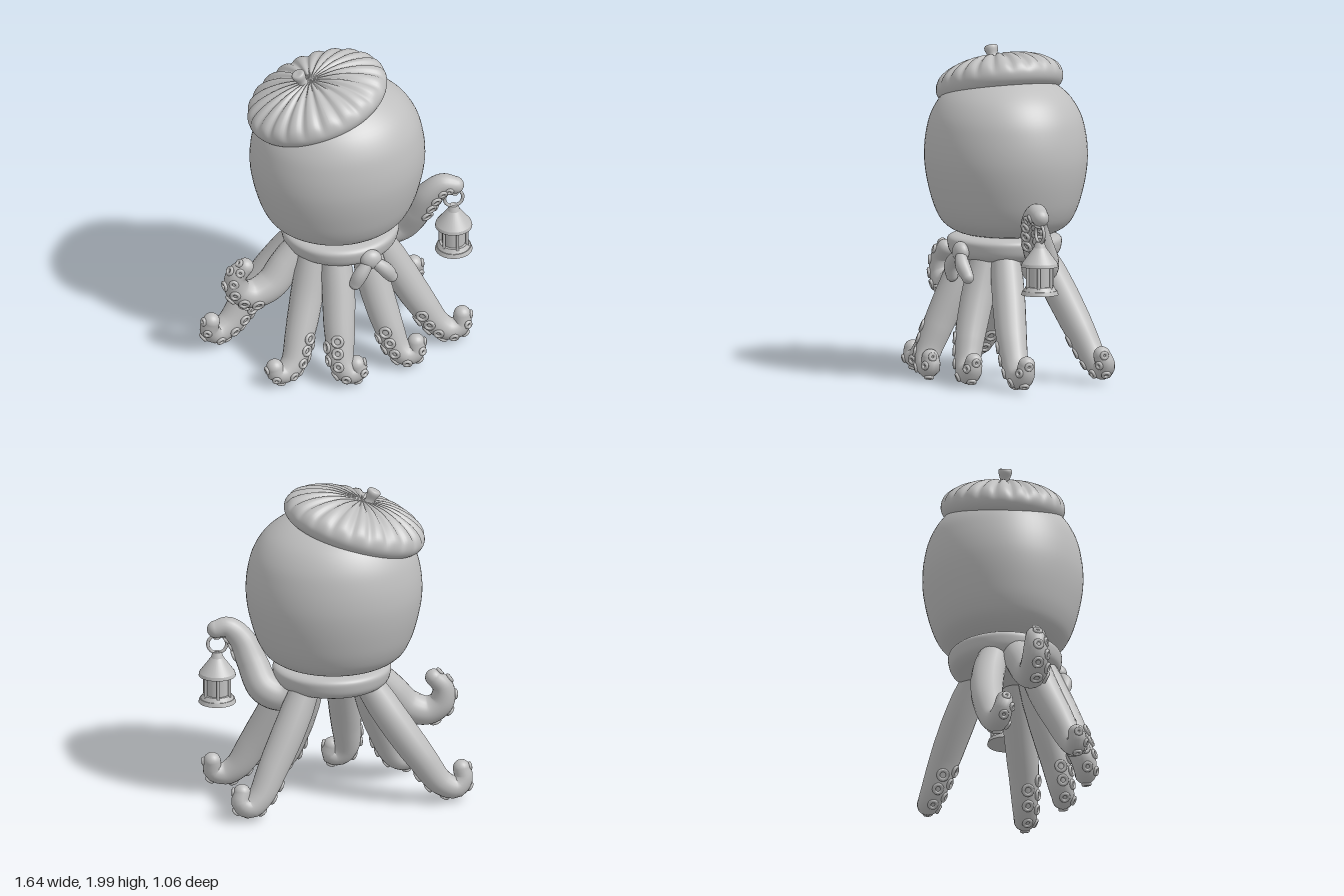
import * as THREE from 'three';

const clay = new THREE.MeshStandardMaterial({ color: 0xbfbfbf });
clay.name = 'pale grey';
const V = (p) => new THREE.Vector3(...p);

function add(parent, name, geometry, pos = [0, 0, 0]) {
  const m = new THREE.Mesh(geometry, clay);
  m.name = name;
  m.position.set(...pos);
  parent.add(m);
  return m;
}

// Smooth lathe through a few [radius, height] points
function lathe(points, segments = 64, divisions = 40) {
  const curve = new THREE.CatmullRomCurve3(points.map(([r, y]) => new THREE.Vector3(r, y, 0)));
  const profile = curve.getPoints(divisions).map((p) => new THREE.Vector2(Math.max(p.x, 0), p.y));
  return new THREE.LatheGeometry(profile, segments);
}

// Tube whose radius follows a function of its length
function taperedTube(curve, radiusAt, n = 48, sides = 20) {
  const g = new THREE.TubeGeometry(curve, n, 1, sides, false);
  const pos = g.attributes.position, v = new THREE.Vector3();
  for (let i = 0; i <= n; i++) {
    const c = curve.getPointAt(i / n), r = radiusAt(i / n);
    for (let j = 0; j <= sides; j++) {
      const k = i * (sides + 1) + j;
      v.fromBufferAttribute(pos, k).sub(c).multiplyScalar(r).add(c);
      pos.setXYZ(k, v.x, v.y, v.z);
    }
  }
  return g;
}

// Limb with a rounded tip and two rows of ring suckers; side is the x direction it curls to
function tentacle(name, side, points) {
  const g = new THREE.Group();
  g.name = name;
  const curve = new THREE.CatmullRomCurve3(points.map(V));
  const radii = [0.085, 0.098, 0.1, 0.096, 0.086, 0.072, 0.052];
  const radiusAt = (t) => {
    const f = Math.min(t * 6, 5.999), i = Math.floor(f);
    return THREE.MathUtils.lerp(radii[i], radii[i + 1], f - i);
  };
  add(g, 'limb', taperedTube(curve, radiusAt));
  add(g, 'tip', new THREE.SphereGeometry(radiusAt(1), 20, 14), points[points.length - 1]);
  const front = new THREE.Vector3(0, 0, 1);
  for (const [angle, start] of [[0.15, 0.66], [1.15, 0.61]]) {
    for (let i = 0; i < 5; i++) {
      const t = start + i * 0.085, T = curve.getTangentAt(t);
      const under = new THREE.Vector3(side * T.y, -side * T.x, 0).normalize();
      const dir = under.multiplyScalar(Math.cos(angle)).addScaledVector(front, Math.sin(angle));
      dir.addScaledVector(T, -dir.dot(T)).normalize();
      const p = curve.getPointAt(t).addScaledVector(dir, radiusAt(t));
      const size = 0.029 - i * 0.003;
      const s = add(g, 'sucker', new THREE.TorusGeometry(size, 0.011, 8, 18), p.toArray());
      s.quaternion.setFromUnitVectors(front, dir);
    }
  }
  return g;
}

function beret() {
  const g = new THREE.Group();
  g.name = 'beret';
  const crown = lathe([[0, 0.05], [0.2, 0.03], [0.36, 0], [0.42, 0.03], [0.44, 0.08], [0.42, 0.14],
    [0.34, 0.195], [0.2, 0.235], [0.08, 0.24], [0, 0.235]], 176, 44);
  // Radial pleats on the upper side
  const p = crown.attributes.position;
  for (let i = 0; i < p.count; i++) {
    const x = p.getX(i), y = p.getY(i), z = p.getZ(i), r = Math.hypot(x, z);
    const groove = Math.pow(Math.abs(Math.cos(Math.atan2(z, x) * 11)), 4);
    const depth = groove * Math.min(1, r / 0.12) * THREE.MathUtils.smoothstep(y, 0.05, 0.17);
    const k = 1 - 0.02 * depth;
    p.setXYZ(i, x * k, y - 0.016 * depth, z * k);
  }
  crown.computeVertexNormals();
  add(g, 'crown', crown).scale.z = 0.85;
  const stem = add(g, 'stem', lathe([[0.032, 0], [0.03, 0.03], [0.042, 0.075], [0.036, 0.09], [0, 0.09]], 20, 24), [-0.045, 0.225, 0]);
  stem.rotation.z = 0.15;
  g.position.set(-0.09, 1.69, -0.06);
  g.rotation.z = 0.296;
  return g;
}

function lantern() {
  const g = new THREE.Group();
  g.name = 'lantern';
  const cyl = (name, top, bottom, y0, y1) =>
    add(g, name, new THREE.CylinderGeometry(top, bottom, y1 - y0, 32), [0, (y0 + y1) / 2, 0]);
  cyl('foot', 0.105, 0.113, 0.59, 0.615);
  cyl('base', 0.085, 0.1, 0.615, 0.64);
  cyl('glass', 0.07, 0.07, 0.64, 0.77);
  cyl('eaves', 0.108, 0.112, 0.76, 0.78);
  cyl('roof', 0.038, 0.108, 0.78, 0.875);
  cyl('cap', 0.026, 0.038, 0.875, 0.91);
  for (let i = 0; i < 6; i++) {
    const a = (i + 0.5) * Math.PI / 3;
    add(g, 'bar', new THREE.CylinderGeometry(0.01, 0.01, 0.14, 8),
      [0.083 * Math.cos(a), 0.7, 0.083 * Math.sin(a)]);
  }
  add(g, 'ring', new THREE.TorusGeometry(0.057, 0.01, 10, 32), [0, 0.96, 0]);
  g.position.set(0.705, 0, 0.06);
  return g;
}

function scarf() {
  const g = new THREE.Group();
  g.name = 'scarf';
  const band = add(g, 'band', lathe([[0, 0.73], [0.24, 0.73], [0.3, 0.735], [0.34, 0.765], [0.355, 0.81],
    [0.355, 0.845], [0.33, 0.865], [0.2, 0.875], [0, 0.875]]), [0.02, 0, -0.03]);
  band.scale.z = 0.96;
  const knot = add(g, 'knot', new THREE.SphereGeometry(0.06, 24, 16), [0.12, 0.79, 0.31]);
  knot.scale.set(1.1, 1.05, 0.8);
  // Two loose ends below the knot
  for (const [end, bend] of [[[0.02, 0.635, 0.32], [0.05, 0.71, 0.335]], [[0.245, 0.65, 0.32], [0.2, 0.72, 0.335]]]) {
    const curve = new THREE.CatmullRomCurve3([V([0.12, 0.79, 0.31]), V(bend), V(end)]);
    add(g, 'tail', taperedTube(curve, (t) => 0.025 + 0.02 * Math.sin(t * Math.PI * 0.8), 16, 16));
    add(g, 'tailEnd', new THREE.SphereGeometry(0.037, 16, 12), end);
  }
  return g;
}

export function createModel() {
  const model = new THREE.Group();
  model.name = 'octopus';

  const head = add(model, 'head', lathe([[0, 0.865], [0.2, 0.866], [0.32, 0.885], [0.41, 0.94], [0.46, 1.02],
    [0.5, 1.14], [0.525, 1.26], [0.532, 1.36], [0.52, 1.48], [0.485, 1.6], [0.41, 1.71],
    [0.28, 1.8], [0.14, 1.845], [0, 1.86]], 72, 60), [0.008, 0, -0.045]);
  head.scale.z = 0.91;

  model.add(beret(), scarf(), lantern());

  // Eight limbs: two raised, six on the ground
  model.add(
    tentacle('raisedRightTentacle', -1, [[-0.2, 0.8, 0], [-0.33, 0.66, 0.03], [-0.44, 0.54, 0.06],
      [-0.56, 0.5, 0.07], [-0.645, 0.55, 0.07], [-0.655, 0.65, 0.07], [-0.6, 0.71, 0.07]]),
    tentacle('lowRightTentacle', -1, [[-0.18, 0.78, -0.12], [-0.34, 0.54, -0.18], [-0.5, 0.31, -0.2],
      [-0.63, 0.13, -0.18], [-0.72, 0.09, -0.16], [-0.765, 0.14, -0.14], [-0.755, 0.2, -0.13]]),
    tentacle('frontRightTentacle', -1, [[-0.18, 0.78, 0.09], [-0.24, 0.52, 0.17], [-0.31, 0.29, 0.26],
      [-0.37, 0.13, 0.32], [-0.43, 0.08, 0.34], [-0.48, 0.09, 0.345], [-0.49, 0.13, 0.34]]),
    tentacle('frontTentacle', 1, [[-0.06, 0.78, 0.16], [-0.07, 0.55, 0.26], [-0.09, 0.32, 0.36],
      [-0.095, 0.14, 0.43], [-0.05, 0.08, 0.45], [0, 0.09, 0.45], [-0.01, 0.14, 0.45]]),
    tentacle('frontLeftTentacle', 1, [[0.13, 0.78, 0.14], [0.17, 0.53, 0.22], [0.23, 0.28, 0.3],
      [0.28, 0.13, 0.34], [0.33, 0.085, 0.36], [0.385, 0.1, 0.36], [0.39, 0.16, 0.35]]),
    tentacle('lowLeftTentacle', 1, [[0.22, 0.78, 0.06], [0.35, 0.53, 0.1], [0.48, 0.29, 0.14],
      [0.58, 0.13, 0.16], [0.65, 0.085, 0.17], [0.72, 0.1, 0.17], [0.73, 0.17, 0.16]]),
    tentacle('lanternTentacle', 1, [[0.2, 0.76, -0.1], [0.32, 0.69, -0.11], [0.43, 0.73, -0.09],
      [0.5, 0.87, -0.02], [0.56, 1.0, 0.03], [0.64, 1.07, 0.05], [0.715, 1.055, 0.06]]),
    tentacle('backTentacle', 1, [[0.18, 0.78, -0.18], [0.28, 0.55, -0.27], [0.39, 0.32, -0.35],
      [0.48, 0.14, -0.41], [0.54, 0.09, -0.43], [0.59, 0.12, -0.43], [0.585, 0.18, -0.41]]),
  );
  return model;
}
